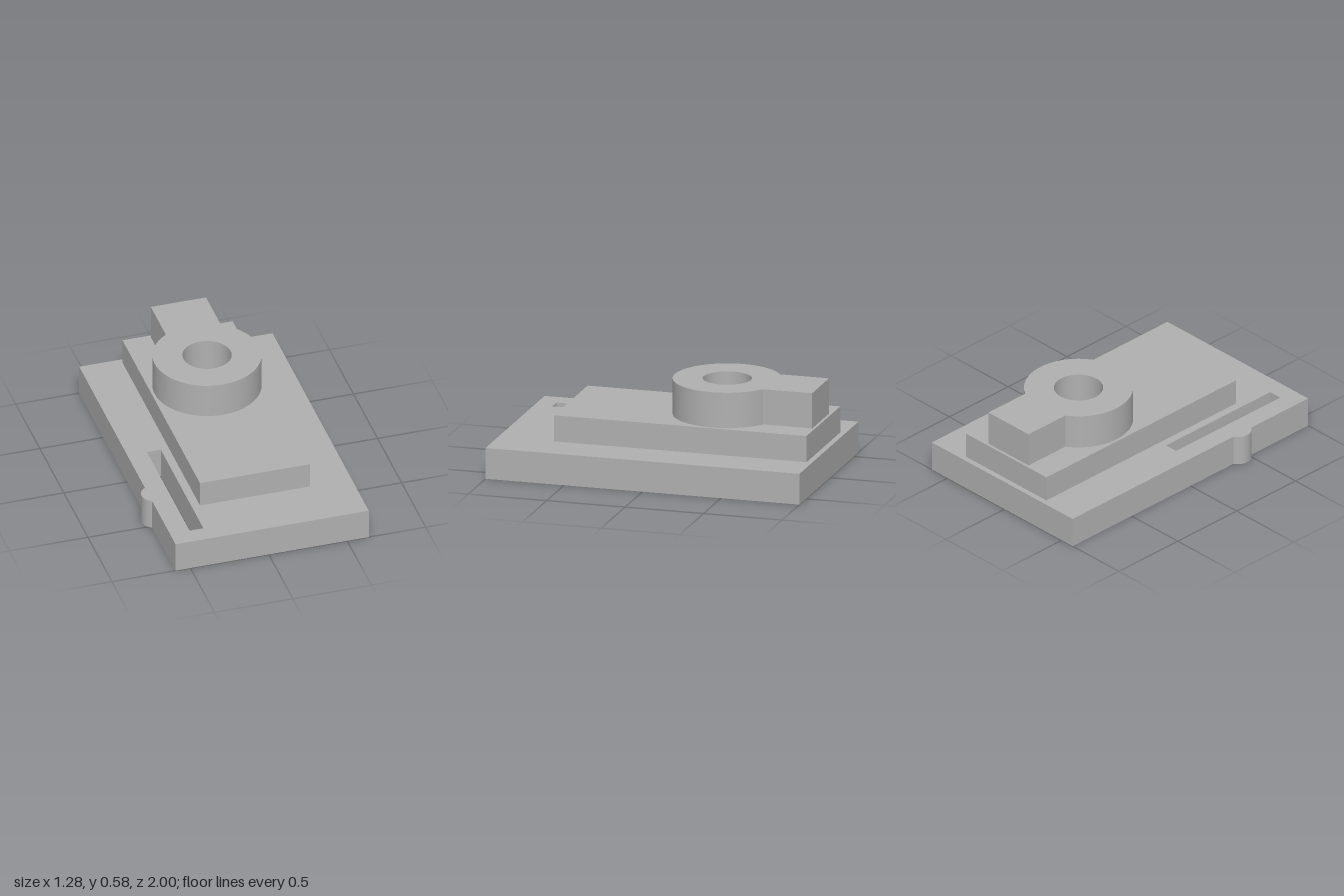
import * as THREE from 'three';
import { mergeGeometries, toCreasedNormals } from 'three/addons/utils/BufferGeometryUtils.js';

// Outlines are counter-clockwise in plan, where plan y is -z.
const p = (x, y) => new THREE.Vector2(x, y);
const rect = (x0, x1, y0, y1) => [p(x0, y0), p(x1, y0), p(x1, y1), p(x0, y1)];
const arc = (cx, cy, r, a0, a1, n) =>
  Array.from({ length: n + 1 }, (_, i) => {
    const a = a0 + ((a1 - a0) * i) / n;
    return p(cx + r * Math.cos(a), cy + r * Math.sin(a));
  });
const circle = (cx, cy, r) => arc(cx, cy, r, 0, Math.PI * 2, 64).slice(0, -1);

// Flat face at height y, with holes
function cap(outline, holes, y, down = false) {
  const shape = new THREE.Shape(outline);
  shape.holes = holes.map((h) => new THREE.Path(h));
  const g = new THREE.ShapeGeometry(shape).toNonIndexed();
  if (down) {
    const pos = g.attributes.position;
    for (let i = 0; i < pos.count; i += 3) {
      const x = pos.getX(i), py = pos.getY(i);
      pos.setXY(i, pos.getX(i + 1), pos.getY(i + 1));
      pos.setXY(i + 1, x, py);
    }
  }
  return g.rotateX(-Math.PI / 2).translate(0, y, 0);
}

// Upright wall following a closed outline
function wall(outline, y0, y1) {
  const v = [];
  outline.forEach((a, i) => {
    const b = outline[(i + 1) % outline.length];
    v.push(a.x, y0, -a.y, b.x, y0, -b.y, b.x, y1, -b.y);
    v.push(a.x, y0, -a.y, b.x, y1, -b.y, a.x, y1, -a.y);
  });
  const g = new THREE.BufferGeometry();
  g.setAttribute('position', new THREE.Float32BufferAttribute(v, 3));
  return g;
}

export function createModel() {
  const model = new THREE.Group();
  model.name = 'steppedMountingBlock';
  const grey = new THREE.MeshStandardMaterial({ color: 0xb0b0b0 });
  grey.name = 'grey';

  const add = (name, parts) => {
    for (const g of parts) {
      g.deleteAttribute('uv');
      g.deleteAttribute('normal');
    }
    const mesh = new THREE.Mesh(toCreasedNormals(mergeGeometries(parts), 0.5), grey);
    mesh.name = name;
    model.add(mesh);
  };

  const baseTop = 0.195, stepTop = 0.36, bossTop = 0.583;
  const cx = 0.021, cy = 0.352, bore = 0.15, sink = 0.292, sinkDepth = 0.14;

  // Base outline with the small round bump on one long edge
  const bump = Math.acos(0.04 / 0.085);
  const base = [
    ...arc(-0.555, -0.44, 0.085, Math.PI - bump, Math.PI + bump, 20),
    p(-0.595, -1), p(0.637, -1), p(0.637, 1), p(-0.595, 1),
  ];
  const slot = rect(-0.47, -0.382, -0.885, 0);
  const step = rect(-0.33, 0.372, -0.645, 0.965);

  // Keyhole-shaped boss: ring with a straight tail to the back
  const R = 0.333, half = 0.176, t = Math.acos(half / R);
  const boss = [
    ...arc(cx, cy, R, Math.PI - t, Math.PI * 2 + t, 64),
    p(cx + half, 0.947), p(cx - half, 0.947),
  ];

  add('basePlate', [
    cap(base, [slot, circle(cx, cy, sink)], 0, true),
    cap(base, [slot, step], baseTop),
    wall(base, 0, baseTop),
    wall([...slot].reverse(), 0, baseTop),
  ]);
  add('raisedStep', [cap(step, [boss], stepTop), wall(step, baseTop, stepTop)]);
  add('keyholeBoss', [cap(boss, [circle(cx, cy, bore)], bossTop), wall(boss, stepTop, bossTop)]);

  // Through bore with a conical countersink underneath
  const lining = new THREE.LatheGeometry([p(bore, bossTop), p(bore, sinkDepth), p(sink, 0)], 64);
  add('countersunkBore', [lining.toNonIndexed().translate(cx, 0, -cy)]);

  return model;
}
